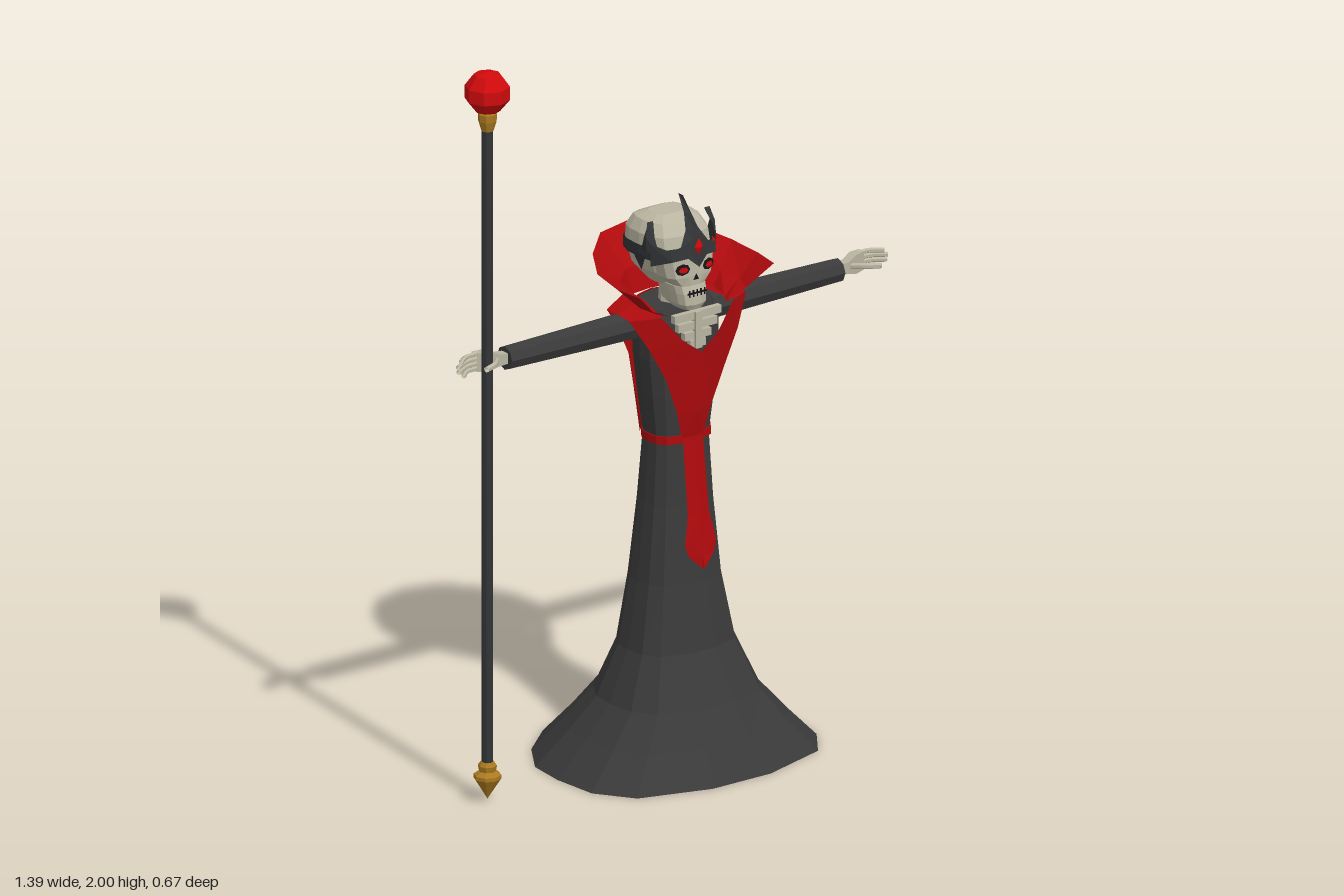
import * as THREE from 'three';

const mat = (name, color, side = THREE.FrontSide) => {
  const m = new THREE.MeshStandardMaterial({ color, side });
  m.name = name;
  return m;
};

export function createModel() {
  const model = new THREE.Group();
  model.name = 'robedSkeleton';
  const D = THREE.DoubleSide;
  const robe = mat('charcoalCloth', 0x3a3a3b, D);
  const red = mat('redCloth', 0xae0a0d, D);
  const bone = mat('bone', 0xb9b5a1, D);
  const iron = mat('darkIron', 0x323436, D);
  const black = mat('black', 0x161616, D);
  const gold = mat('gold', 0xab7a20);
  const gem = mat('redGem', 0xd00a0d, D);

  // Faceted mesh from any geometry
  function add(name, geo, material, pos = [0, 0, 0], parent = model) {
    const g = geo.index ? geo.toNonIndexed() : geo;
    g.computeVertexNormals();
    const mesh = new THREE.Mesh(g, material);
    mesh.name = name;
    mesh.position.set(...pos);
    parent.add(mesh);
    return mesh;
  }
  // Skin over rows of [x, y, z] points
  function surf(rows, closed = false) {
    const n = rows[0].length, pos = rows.flat(2), idx = [];
    for (let i = 0; i < rows.length - 1; i++) {
      for (let j = 0; j < (closed ? n : n - 1); j++) {
        const a = i * n + j, b = i * n + (j + 1) % n;
        idx.push(a, a + n, b, b, a + n, b + n);
      }
    }
    const g = new THREE.BufferGeometry();
    g.setAttribute('position', new THREE.Float32BufferAttribute(pos, 3));
    g.setIndex(idx);
    return g;
  }
  // Half row, starting on the centre line, extended to both sides
  const mirror = (half) => [
    ...half.slice(1).reverse().map(([x, y, z]) => [-x, y, z]), ...half];
  // Half cross-sections from back to front, scaled between zBack and zFront
  const body = [[0, -1], [.49, -.82], [.78, -.54], [.97, -.21], [1, .12], [.97, .52], [.78, .82], [.25, 1]];
  const skull = [[0, -1], [.5, -.98], [.84, -.86], [.97, -.5], [1, 0], [.95, .5], [.76, .86], [.28, 1]];
  const halfRing = ([y, hx, zf, zb], outline = body) =>
    outline.map(([x, z]) => [x * hx, y, (zf + zb) / 2 + z * (zf - zb) / 2]);
  function loft(sections, outline) {
    const cap = ([y, , zf, zb]) => [y, 0, (zf + zb) / 2, (zf + zb) / 2];
    const all = [cap(sections[0]), ...sections, cap(sections.at(-1))];
    return surf(all.map((s) => mirror(halfRing(s, outline))), true);
  }
  const tube = (pts, r) => new THREE.TubeGeometry(
    new THREE.CatmullRomCurve3(pts.map((p) => new THREE.Vector3(...p))), 5, r, 6);

  // Robe: skirt and upper body
  add('skirt', loft([[0, .372, .33, -.335], [.09, .285, .275, -.25], [.175, .21, .227, -.18], [.31, .152, .168, -.112],
    [.49, .118, .14, -.085], [.7, .097, .124, -.058], [.88, .085, .115, -.04]]), robe);
  const torso = [[.875, .085, .115, -.04], [1, .102, .125, -.055], [1.1, .113, .13, -.063],
    [1.18, .115, .13, -.065], [1.235, .1, .11, -.05]];
  add('torso', loft(torso), robe);
  add('belt', loft([[.868, .09, .12, -.045], [.89, .09, .12, -.045]]), red);

  // Red back panel, joined to the shoulders
  const backEdge = [[.072, .89, 0], [.095, 1, 0], [.115, 1.1, 0], [.142, 1.18, -.015], [.185, 1.235, 0]];
  add('backPanel', surf(torso.map(([y, hx, zf, zb], i) =>
    mirror([...halfRing([y, hx + .006, zf, zb - .008]).slice(0, 3), backEdge[i]]))), red);

  // Shoulder yokes, lapels, sleeves and hands
  for (const s of [1, -1]) {
    const side = s > 0 ? 'left' : 'right';
    const flip = (rows) => rows.map((r) => r.map(([x, y, z]) => [s * x, y, z]));
    add(side + 'Yoke', surf(flip([
      [[.185, 1.235, 0], [.19, 1.238, .05], [.185, 1.23, .1]],
      [[.08, 1.25, -.052], [.09, 1.25, .03], [.11, 1.237, .14]]])), red);
    add(side + 'Lapel', surf(flip([
      [[.188, 1.232, .1], [.115, 1.237, .142]],
      [[.142, 1.15, .125], [.055, 1.165, .155]],
      [[.094, 1.06, .132], [0, 1.125, .158]],
      [[.055, .96, .127], [0, .96, .14]],
      [[.035, .885, .12], [0, .885, .125]]])), red);
    const sleeve = add(side + 'Sleeve', new THREE.CylinderGeometry(.032, .041, .455, 8), robe, [s * .308, 1.19, .03]);
    sleeve.rotation.z = -s * Math.PI / 2;

    const hand = new THREE.Group();
    hand.name = side + 'Hand';
    model.add(hand);
    const p = (x, y, z) => [s * x, y, z];
    const palmRing = (x, y0, y1, z0, z1) => [p(x, y0, z0), p(x, y1, z0), p(x, y1, z1), p(x, y0, z1)];
    add('palm', surf([palmRing(.52, 1.18, 1.205, .018, .045), palmRing(.56, 1.178, 1.21, .018, .045),
      palmRing(.59, 1.168, 1.22, .006, .036), palmRing(.622, 1.17, 1.22, .004, .026)], true), bone, [0, 0, 0], hand);
    for (let i = 0; i < 4; i++) {
      const y = 1.175 + i * .0133, reach = [.672, .688, .69, .68][i];
      add('finger', tube([p(.61, y, .014), p(.65, y, .018), p(reach, y - .002, .036)], .0068), bone, [0, 0, 0], hand);
    }
    add('thumb', tube([p(.565, 1.195, .034), p(.598, 1.198, .07), p(.634, 1.196, .083)], .008), bone, [0, 0, 0], hand);
  }

  // Hanging front sash
  add('sash', surf([[.88, .032, .122], [.68, .034, .145], [.6, .05, .155], [.57, .04, .159], [.535, .003, .166]]
    .map(([y, w, z]) => [[-w, y, z], [0, y, z + .006], [w, y, z]])), red);

  // Sternum and ribs within the neckline
  add('sternum', new THREE.BoxGeometry(.022, .1, .018), bone, [0, 1.182, .14]);
  [[1.222, .15], [1.195, .125], [1.168, .085], [1.145, .05]].forEach(([y, w]) =>
    add('rib', new THREE.BoxGeometry(w, .021, .016), bone, [0, y, .136]));
  add('neck', new THREE.CylinderGeometry(.032, .038, .11, 8), bone, [0, 1.275, .035]);

  // Flared collar, open at the front
  add('collar', surf([
    [[0, 1.235, -.06], [.06, 1.235, -.052], [.1, 1.235, -.01], [.113, 1.235, .05], [.11, 1.238, .11], [.09, 1.238, .145]],
    [[0, 1.3, -.08], [.07, 1.3, -.07], [.12, 1.29, -.03], [.15, 1.28, .04], [.165, 1.272, .1], [.15, 1.265, .15]],
    [[0, 1.388, -.162], [.1, 1.385, -.14], [.17, 1.36, -.08], [.215, 1.338, 0], [.226, 1.328, .1], [.215, 1.326, .182]],
  ].map(mirror)), red);

  // Skull
  const head = new THREE.Group();
  head.name = 'head';
  model.add(head);
  const part = (name, geo, m, pos) => add(name, geo, m, pos, head);
  part('cranium', loft([[1.29, .05, .08, -.03], [1.33, .082, .1, -.06], [1.39, .096, .113, -.073],
    [1.43, .094, .104, -.073], [1.46, .077, .08, -.057], [1.473, .045, .045, -.025]], skull), bone);
  part('cheeks', loft([[1.298, .045, .132, .02], [1.325, .074, .132, .02], [1.375, .086, .128, .02]], skull), bone);
  part('jaw', loft([[1.235, .03, .135, .05], [1.25, .042, .142, .03], [1.28, .047, .14, .02], [1.3, .05, .132, .02]], skull), bone);
  part('mouth', new THREE.BoxGeometry(.06, .004, .004), black, [0, 1.282, .14]);
  for (let i = -2; i <= 2; i++) {
    part('toothGap', new THREE.BoxGeometry(.0025, .018, .004), black, [i * .012, 1.282, .14]);
  }
  part('noseHole', new THREE.CircleGeometry(.011, 3, Math.PI / 2), black, [0, 1.322, .136]);
  for (const s of [1, -1]) {
    const socket = part('eyeSocket', new THREE.CircleGeometry(.021, 8), black, [s * .041, 1.35, .133]);
    socket.rotation.y = s * .2;
    socket.scale.y = .75;
    const eye = part('eye', new THREE.CircleGeometry(.014, 6), gem, [s * .041, 1.35, .137]);
    eye.rotation.y = s * .2;
    eye.scale.y = .6;
  }

  // Crown: band, brow plate and spikes
  part('crownBand', surf([[1.368, .1, .118, -.077], [1.402, .101, .117, -.078]].map((r) => mirror(halfRing(r, skull))), true), iron);
  part('browPlate', surf([
    [[0, 1.355, .15], [.03, 1.381, .142], [.07, 1.375, .128], [.104, 1.358, .08]],
    [[0, 1.44, .143], [.03, 1.418, .135], [.07, 1.402, .122], [.106, 1.42, .08]]].map(mirror)), iron);
  part('frontSpike', surf([[1.41, .045, .145], [1.45, .02, .132], [1.49, .01, .112], [1.53, .001, .08]]
    .map(([y, w, z]) => [[-w, y, z - .015], [0, y, z], [w, y, z - .015], [0, y, z - .02]]), true), iron);
  for (const s of [1, -1]) {
    part('sideSpike', surf([[1.395, .03, .104, .07], [1.435, .014, .105, .068], [1.472, .001, .094, .06]]
      .map(([y, w, x, z]) => [[s * x, y, z - w], [s * (x + .006), y, z], [s * (x - .012), y, z + w]]), true), iron);
    part('templePoint', surf([[[s * .104, 1.38, 0], [s * .106, 1.38, .06]],
      [[s * .097, 1.335, .03], [s * .097, 1.335, .032]]]), iron);
  }
  part('crownGem', new THREE.OctahedronGeometry(.017), gem, [0, 1.41, .147]).scale.set(.8, 1.4, .5);

  // Staff
  const staff = new THREE.Group();
  staff.name = 'staff';
  staff.position.set(-.61, 0, .055);
  model.add(staff);
  const lathe = (pts) => new THREE.LatheGeometry(pts.map((p) => new THREE.Vector2(...p)), 8);
  add('shaft', new THREE.CylinderGeometry(.015, .015, 1.77, 8), iron, [0, .975, 0], staff);
  add('staffFoot', lathe([[0, .008], [.036, .065], [.036, .075], [.022, .085], [.025, .1], [.018, .11], [0, .11]]), gold, [0, 0, 0], staff);
  add('staffSocket', lathe([[0, 1.838], [.016, 1.838], [.024, 1.865], [.025, 1.885], [.018, 1.895], [0, 1.895]]), gold, [0, 0, 0], staff);
  add('staffOrb', lathe([[0, 1.885], [.033, 1.893], [.059, 1.925], [.059, 1.96], [.035, 1.992], [0, 2]]), gem, [0, 0, 0], staff);

  return model;
}
